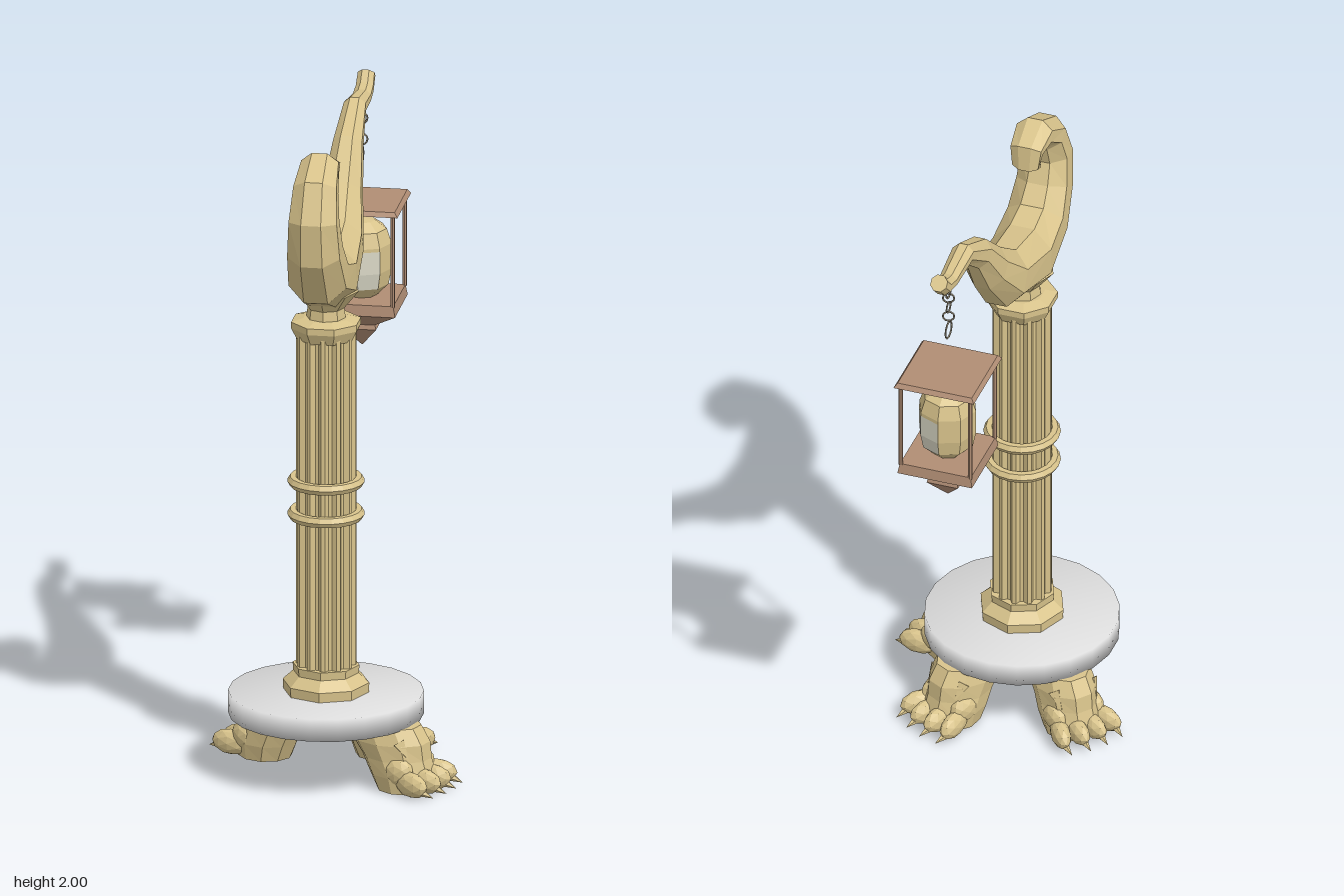
import * as THREE from 'three';
import { mergeVertices } from 'three/addons/utils/BufferGeometryUtils.js';

const CX = -0.027, CZ = 0.25, LZ = -0.42; // column axis and lantern depth

function material(name, color, extra = {}) {
  const m = new THREE.MeshStandardMaterial({ color, ...extra });
  m.name = name;
  return m;
}

// Joins equal-sized rings of points into a closed skin
function loft(rings) {
  const n = rings[0].length, pos = [], idx = [];
  rings.forEach(r => r.forEach(p => pos.push(p.x, p.y, p.z)));
  for (let i = 0; i < rings.length - 1; i++) {
    for (let j = 0; j < n; j++) {
      const a = i * n + j, b = i * n + (j + 1) % n;
      idx.push(a, b, a + n, b, b + n, a + n);
    }
  }
  [rings[0], rings[rings.length - 1]].forEach((ring, end) => {
    const c = new THREE.Vector3();
    ring.forEach(p => c.addScaledVector(p, 1 / n));
    const ci = pos.length / 3, o = end ? (rings.length - 1) * n : 0;
    pos.push(c.x, c.y, c.z);
    for (let j = 0; j < n; j++) {
      const a = o + j, b = o + (j + 1) % n;
      if (end) idx.push(ci, a, b); else idx.push(ci, b, a);
    }
  });
  const g = new THREE.BufferGeometry();
  g.setAttribute('position', new THREE.Float32BufferAttribute(pos, 3));
  g.setIndex(idx);
  g.computeVertexNormals();
  return g;
}

const ring = (n, f) => Array.from({ length: n }, (_, j) => f(j / n * Math.PI * 2, j));
const lathe = (pts, n) => new THREE.LatheGeometry(pts.map(p => new THREE.Vector2(...p)), n);

export function createModel() {
  const root = new THREE.Group();
  root.name = 'lanternStand';
  const tan = material('carvedTan', 0xd9c48c, { flatShading: true });
  const stone = material('paleStone', 0xdcdcdc);
  const wood = material('brownWood', 0xb08d74, { flatShading: true });
  const pale = material('paleGlow', 0xdcdac8, { flatShading: true });
  const iron = material('chainMetal', 0x8a8270);

  function add(name, geo, mat, x = 0, y = 0, z = 0, parent = root) {
    const m = new THREE.Mesh(geo, mat);
    m.name = name;
    m.position.set(x, y, z);
    parent.add(m);
    return m;
  }

  // Round slab with softly shared normals
  const slab = new THREE.CylinderGeometry(0.295, 0.295, 0.07, 22);
  slab.deleteAttribute('normal');
  slab.deleteAttribute('uv');
  const slabGeo = mergeVertices(slab);
  slabGeo.computeVertexNormals();
  add('baseDisc', slabGeo, stone, CX, 0.23, CZ);

  // Column foot, fluted shaft, rings and capital
  add('columnFoot', lathe([[0, 0.26], [0.13, 0.26], [0.132, 0.295], [0.1, 0.325],
    [0.102, 0.35], [0, 0.35]], 8), tan, CX, 0, CZ);
  const flute = [0.091, 0.091, 0.077, 0.077];
  const shaftRing = y => ring(48, (a, j) => new THREE.Vector3(
    Math.sin(a) * flute[j % 4], y, Math.cos(a) * flute[j % 4]));
  add('flutedShaft', loft([shaftRing(0.34), shaftRing(1.41)]), tan, CX, 0, CZ);
  for (const y of [0.825, 0.928]) {
    const t = add('columnRing', new THREE.TorusGeometry(0.1, 0.017, 6, 20), tan, CX, y, CZ);
    t.rotation.x = Math.PI / 2;
  }
  add('capital', lathe([[0, 1.38], [0.09, 1.38], [0.108, 1.415], [0.108, 1.435],
    [0.07, 1.445], [0, 1.445]], 8), tan, CX, 0, CZ).rotation.y = Math.PI / 8;
  add('hornNeck', lathe([[0, 1.43], [0.062, 1.43], [0.056, 1.475], [0.1, 1.53], [0, 1.56]], 8),
    tan, CX, 0, CZ);

  // Curling horn: z, y, half height, half width along its path
  const path = [
    [-0.5, 1.975, 0.026, 0.026], [-0.465, 1.94, 0.026, 0.027], [-0.415, 1.928, 0.024, 0.028],
    [-0.285, 1.94, 0.032, 0.034], [-0.16, 1.86, 0.047, 0.045], [-0.06, 1.74, 0.068, 0.06],
    [0.06, 1.625, 0.09, 0.082], [0.25, 1.575, 0.105, 0.095], [0.39, 1.62, 0.092, 0.09],
    [0.455, 1.715, 0.077, 0.082], [0.475, 1.815, 0.062, 0.075], [0.44, 1.905, 0.056, 0.067],
    [0.36, 1.953, 0.047, 0.058], [0.292, 1.935, 0.031, 0.05], [0.285, 1.885, 0.022, 0.042],
    [0.325, 1.863, 0.015, 0.034], [0.35, 1.89, 0.01, 0.026]];
  const hornRings = path.map(([z, y, r, w], i) => {
    const p = path[Math.max(i - 1, 0)], q = path[Math.min(i + 1, path.length - 1)];
    const d = Math.hypot(q[0] - p[0], q[1] - p[1]);
    const tz = (q[0] - p[0]) / d, ty = (q[1] - p[1]) / d;
    return ring(8, a => {
      const s = Math.sin(a + Math.PI / 8) * r * 1.06, c = Math.cos(a + Math.PI / 8) * w * 1.06;
      return new THREE.Vector3(c, y + s * tz, z - s * ty);
    });
  });
  add('curledHorn', loft(hornRings), tan, CX, 0, 0);

  // Clawed legs, each built along +x then turned into place
  const legRings = [[0, 0.27, 0.085, 0.08], [0.05, 0.265, 0.105, 0.09], [0.1, 0.245, 0.11, 0.088],
    [0.15, 0.225, 0.125, 0.092], [0.198, 0.205, 0.115, 0.085]].map(([y, rc, rh, w]) =>
    ring(10, a => new THREE.Vector3(rc + Math.sin(a) * rh, y, Math.cos(a) * w)));
  const legGeo = loft(legRings);
  const toeGeo = new THREE.IcosahedronGeometry(1, 1);
  const clawGeo = new THREE.ConeGeometry(0.014, 0.045, 5);
  const tuftGeo = new THREE.ConeGeometry(0.024, 0.06, 4);
  for (const turn of [-20, 60, 142]) {
    const leg = new THREE.Group();
    leg.name = 'clawedLeg';
    leg.position.set(CX, 0, CZ);
    leg.rotation.y = turn * Math.PI / 180;
    root.add(leg);
    add('leg', legGeo, tan, 0, 0, 0, leg);
    for (const k of [-1.5, -0.5, 0.5, 1.5]) {
      const reach = 0.375 - Math.abs(k) * 0.012, side = k * 0.052;
      const toe = add('toe', toeGeo, tan, reach - 0.02, 0.04, side, leg);
      toe.scale.set(0.065, 0.04, 0.029);
      toe.rotation.y = -k * 0.2;
      const knuckle = add('knuckle', toeGeo, tan, reach - 0.07, 0.07, side * 0.85, leg);
      knuckle.scale.set(0.05, 0.045, 0.03);
      const claw = add('claw', clawGeo, tan, reach + 0.043, 0.02, side * 1.15, leg);
      claw.rotation.z = -Math.PI / 2 - 0.3;
      const tuft = add('furTuft', tuftGeo, tan, 0.335 - Math.abs(k) * 0.022, 0.135, side * 0.8, leg);
      tuft.rotation.z = -2.5;
    }
  }

  // Hanging chain
  [[1.885, 0.02, 0], [1.862, 0.017, 1], [1.828, 0.017, 0], [1.795, 0.017, 1], [1.745, 0.027, 0]]
    .forEach(([y, r, turned]) => {
      const link = add('chainLink', new THREE.TorusGeometry(r, 0.003, 5, 12), iron, CX, y, -0.413);
      link.rotation.y = turned ? 0.3 : Math.PI / 2;
    });

  // Square lantern
  const lantern = new THREE.Group();
  lantern.name = 'lantern';
  lantern.position.set(CX, 0, LZ);
  root.add(lantern);
  const square = (name, top, bottom, y0, y1) => {
    const g = new THREE.CylinderGeometry(top * Math.SQRT2, bottom * Math.SQRT2, y1 - y0, 4);
    g.rotateY(Math.PI / 4);
    add(name, g, wood, 0, (y0 + y1) / 2, 0, lantern);
  };
  square('roofPlate', 0.118, 0.128, 1.59, 1.604);
  square('floorPlate', 0.113, 0.119, 1.272, 1.305);
  square('underside', 0.119, 0.042, 1.22, 1.272);
  square('finialCollar', 0.046, 0.05, 1.208, 1.222);
  square('finialPoint', 0.05, 0.002, 1.147, 1.208);
  for (const x of [-0.111, 0.111]) for (const z of [-0.111, 0.111]) {
    add('cornerPost', new THREE.CylinderGeometry(0.007, 0.007, 0.29, 6), wood, x, 1.447, z, lantern);
  }

  // Faceted lamp body, with pale panes on some sides
  add('lampBody', lathe([[0, 1.3], [0.045, 1.305], [0.08, 1.34], [0.09, 1.39], [0.09, 1.47],
    [0.075, 1.515], [0.04, 1.54], [0, 1.546]], 8), tan, 0, 0, 0, lantern);
  for (const k of [0, 2, 3, 7]) {
    const pane = new THREE.LatheGeometry([[0.0815, 1.34], [0.0915, 1.39], [0.0915, 1.46]]
      .map(p => new THREE.Vector2(...p)), 1, k * Math.PI / 4, Math.PI / 4);
    add('palePane', pane, pale, 0, 0, 0, lantern);
  }
  return root;
}
